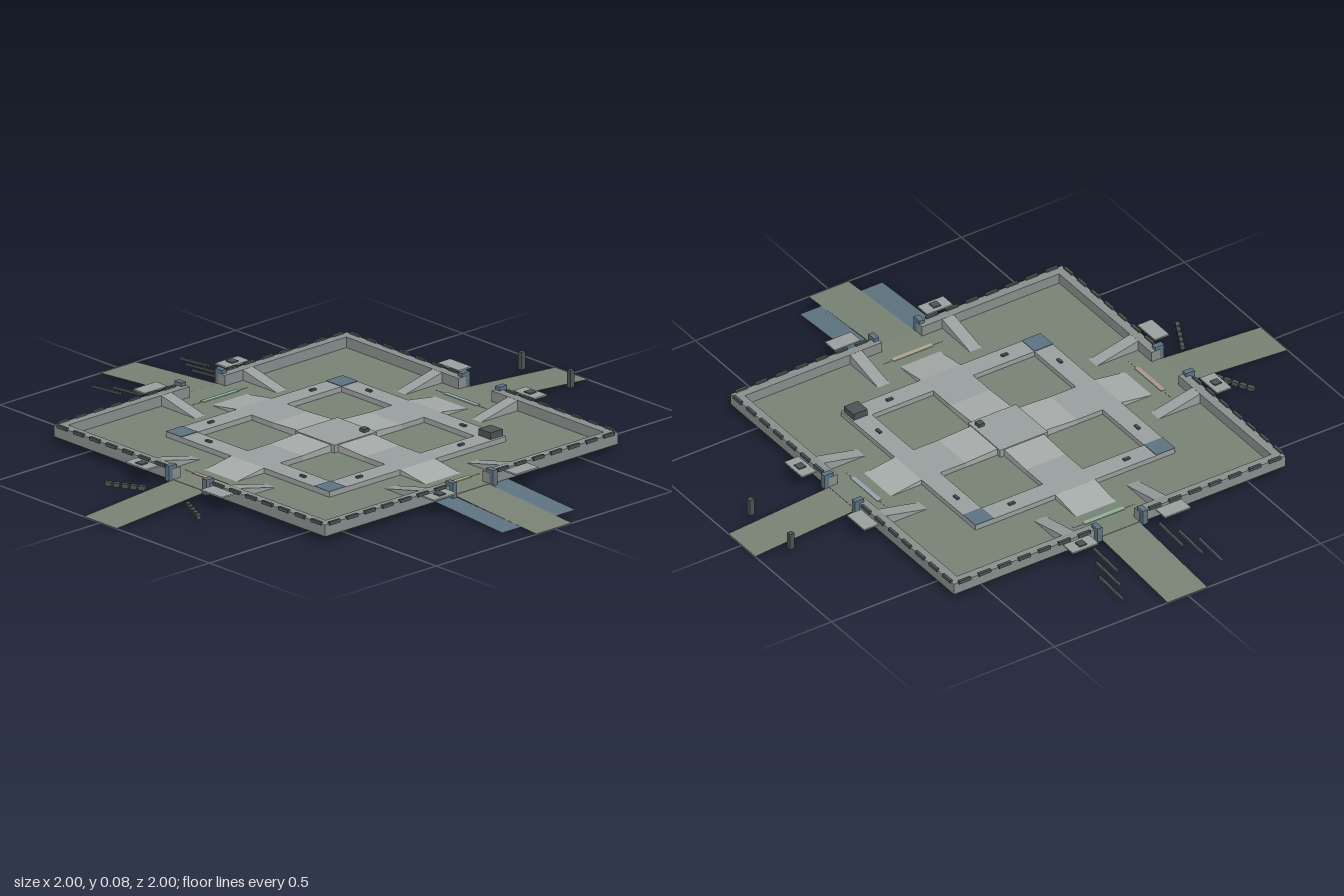
import * as THREE from 'three';

const mat = (color) => new THREE.MeshStandardMaterial({ color, flatShading: true, side: THREE.DoubleSide });
const GRASS = mat(0x788274), STONE = mat(0x9aa09f), WALL = mat(0x888f8d), DARK = mat(0x4c5354),
  BLUE = mat(0x5d7380), PALE = mat(0xa6acaa);
const FLOOR = 0.03, DECK = 0.047, PAD = 0.056, TOP = 0.065;

export function createModel() {
  const model = new THREE.Group();

  // Box given by its low and high corners
  function block(parent, name, material, x0, x1, y0, y1, z0, z1) {
    const mesh = new THREE.Mesh(new THREE.BoxGeometry(x1 - x0, y1 - y0, z1 - z0), material);
    mesh.position.set((x0 + x1) / 2, (y0 + y1) / 2, (z0 + z1) / 2);
    mesh.name = name;
    parent.add(mesh);
    return mesh;
  }

  // Box along z whose top slopes from yA at z0 to yB at z1; a thickness makes it a sloping slab
  function ramp(parent, name, material, x0, x1, z0, z1, yA, yB, thickness) {
    const geo = new THREE.BoxGeometry(x1 - x0, 1, z1 - z0);
    geo.translate((x0 + x1) / 2, 0, (z0 + z1) / 2);
    const p = geo.attributes.position;
    for (let i = 0; i < p.count; i++) {
      const top = THREE.MathUtils.mapLinear(p.getZ(i), z0, z1, yA, yB);
      const bottom = thickness ? top - thickness : FLOOR - 0.002;
      p.setY(i, p.getY(i) > 0 ? top : bottom);
    }
    geo.computeVertexNormals();
    const mesh = new THREE.Mesh(geo, material);
    mesh.name = name;
    parent.add(mesh);
  }

  block(model, 'courtyardFloor', GRASS, -0.622, 0.622, 0.026, FLOOR, -0.622, 0.622);

  // Four equal sides, each built facing +z and turned into place
  const sides = [
    { name: 'front', turn: 0, strip: 0xaa9488 },
    { name: 'left', turn: Math.PI / 2, strip: 0xaaa68c },
    { name: 'back', turn: Math.PI, strip: 0x93a5ae },
    { name: 'right', turn: -Math.PI / 2, strip: 0x8fae9c },
  ];
  const groups = {};
  for (const { name, turn, strip } of sides) {
    const g = new THREE.Group();
    g.name = name + 'Side';
    g.rotation.y = turn;
    model.add(g);
    groups[name] = g;

    // Approach road and the lane up to the centre
    ramp(g, 'approachRoad', GRASS, -0.075, 0.075, 0.62, 1, FLOOR - 0.001, 0.001, 0.001);
    ramp(g, 'outerRamp', PALE, -0.075, 0.075, 0.375, 0.49, DECK, FLOOR);
    block(g, 'laneDeck', STONE, -0.075, 0.075, FLOOR, DECK, 0.21, 0.375);
    ramp(g, 'innerRamp', PALE, -0.075, 0.075, 0.09, 0.21, PAD - 0.003, DECK);
    block(g, 'gateStrip', mat(strip), -0.075, 0.075, FLOOR, 0.032, 0.525, 0.541);
    block(g, 'gateLine', WALL, -0.115, 0.115, FLOOR, 0.031, 0.531, 0.535);

    for (const s of [-1, 1]) {
      const span = (label, material, a, b, y0, y1, z0, z1) =>
        block(g, label, material, Math.min(s * a, s * b), Math.max(s * a, s * b), y0, y1, z0, z1);

      // Outer wall with gate post and merlons
      span('outerWall', WALL, 0.075, s > 0 ? 0.622 : 0.59, 0.026, TOP, 0.59, 0.622);
      span('gatePost', BLUE, 0.076, 0.095, 0.026, 0.077, 0.605, 0.638);
      for (let i = 0; i < 7; i++) {
        const x = 0.11 + i * 0.075;
        span('merlon', DARK, x, x + 0.045, 0.06, 0.071, 0.617, 0.626);
      }

      // Stair ramp to the wall walk and the balcony outside
      ramp(g, 'wallRamp', STONE, s * 0.173 - 0.022, s * 0.173 + 0.022, 0.435, 0.592, FLOOR, TOP);
      span('balcony', STONE, 0.125, 0.222, 0.062, 0.067, 0.636, 0.69);

      // Raised ring walkway with low cover blocks
      span('ringWalk', STONE, 0.075, s > 0 ? 0.375 : 0.305, FLOOR, DECK, 0.305, 0.375);
      span('ringCover', DARK, 0.205, 0.227, DECK, 0.053, 0.335, 0.345);
    }
    block(g, 'balconyHatch', DARK, -0.187, -0.16, 0.067, 0.071, 0.65, 0.677);
  }

  // Central pad with its marker
  block(model, 'centralPad', STONE, -0.09, 0.09, FLOOR, PAD, -0.09, 0.09);
  block(model, 'centralMarker', DARK, 0.048, 0.07, PAD, 0.067, -0.077, -0.055);

  // Ring corners: three tiles and one watch block
  for (const [x, z] of [[-1, -1], [-1, 1], [1, 1]]) {
    const tile = block(model, 'cornerTile', BLUE, -0.035, 0.035, DECK, DECK + 0.002, -0.035, 0.035);
    tile.position.x = x * 0.34;
    tile.position.z = z * 0.34;
  }
  block(model, 'cornerWatchBlock', DARK, 0.31, 0.365, DECK, 0.069, -0.37, -0.318);

  // Water beside the left road
  for (const s of [-1, 1]) {
    ramp(groups.left, 'water', BLUE, s > 0 ? 0.075 : -0.155, s > 0 ? 0.155 : -0.075,
      0.62, 0.93, FLOOR - 0.003, 0.006, 0.001);
  }

  for (const s of [-1, 1]) {
    // Stepping stones flaring from the front road
    for (let i = 0; i < 5; i++) {
      const stone = block(model, 'roadStone', DARK, -0.011, 0.011, 0.013, 0.027, -0.007, 0.007);
      stone.position.x = s * (0.105 + i * 0.025);
      stone.position.z = 0.725 + i * 0.0125;
      stone.rotation.y = -s * 0.46;
    }
    // Stakes beside the right road
    for (let i = 0; i < 3; i++) {
      const x = s * (0.123 + i * 0.032), z = 0.66 + i * 0.063;
      const yAt = (d) => 0.031 - (d - 0.66) * 0.075;
      ramp(groups.right, 'stake', DARK, x - 0.004, x + 0.004, z, z + 0.132, yAt(z), yAt(z + 0.132), 0.008);
    }
    // Standing pillars by the back road
    block(model, 'pillar', DARK, s * 0.112 - 0.008, s * 0.112 + 0.008, 0.012, 0.07, -0.9, -0.883);
  }
  return model;
}
